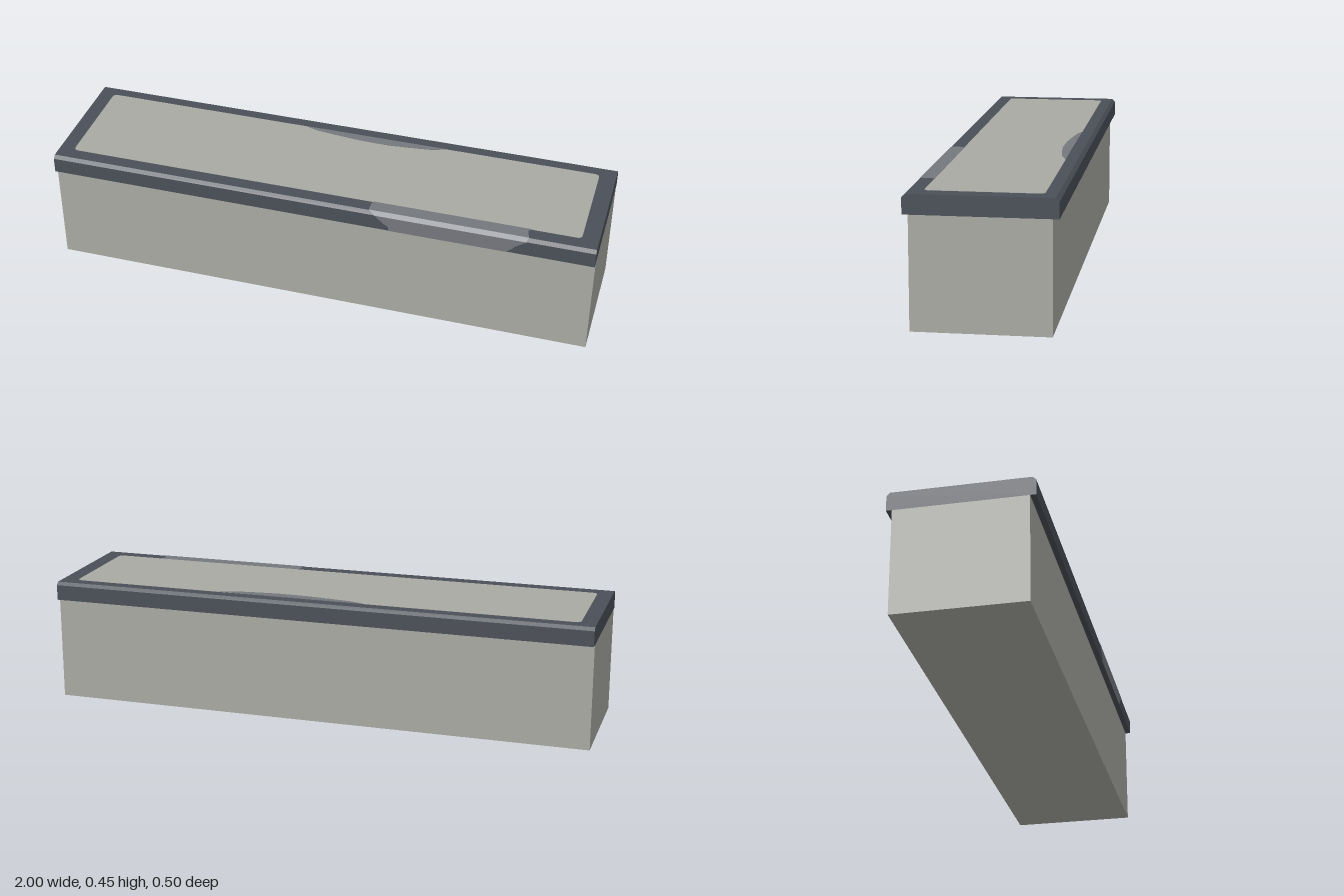
import * as THREE from 'three';

const stone = new THREE.MeshStandardMaterial({ color: 0xa9a9a3 });
stone.name = 'paleStone';
const slate = new THREE.MeshStandardMaterial({ color: 0x4a4f57 });
slate.name = 'darkSlate';
const worn = new THREE.MeshStandardMaterial({ color: 0x74777c });
worn.name = 'wornSlate';

const TOP = 0.449, UNDER = 0.382, LIFT = 0.0015;

function add(group, name, geometry, material) {
  const mesh = new THREE.Mesh(geometry, material);
  mesh.name = name;
  group.add(mesh);
  return mesh;
}

// Thin plate lying on the cap; the shape is drawn in x and -z
function plate(shape, thickness) {
  const g = new THREE.ExtrudeGeometry(shape, { depth: thickness, bevelEnabled: false, curveSegments: 5 });
  return g.rotateX(-Math.PI / 2).translate(0, TOP, 0);
}

// Rows of [y, z, left x, right x] joined into one flat-faced strip
function strip(rows) {
  const p = [];
  for (let i = 0; i < rows.length - 1; i++) {
    const [y0, z0, l0, r0] = rows[i], [y1, z1, l1, r1] = rows[i + 1];
    p.push(l0, y0, z0, l1, y1, z1, r1, y1, z1, l0, y0, z0, r1, y1, z1, r0, y0, z0);
  }
  const g = new THREE.BufferGeometry();
  g.setAttribute('position', new THREE.Float32BufferAttribute(p, 3));
  g.computeVertexNormals();
  return g;
}

export function createModel() {
  const group = new THREE.Group();
  group.name = 'cappedWall';

  // Wall body
  add(group, 'wallBody', new THREE.BoxGeometry(2, UNDER, 0.46), stone).position.y = UNDER / 2;

  // Overhanging cap with chamfered long edges, extruded along x
  const profile = new THREE.Shape([
    [-0.25, UNDER], [0.25, UNDER], [0.25, 0.438], [0.238, TOP], [-0.238, TOP], [-0.25, 0.438],
  ].map(([z, y]) => new THREE.Vector2(z, y)));
  const cap = new THREE.ExtrudeGeometry(profile, { depth: 2, bevelEnabled: false });
  cap.translate(0, 0, -1).rotateY(Math.PI / 2);
  add(group, 'cap', cap, slate);

  // Pale inset panel with rounded corners
  const x0 = -0.945, x1 = 0.94, y0 = -0.19, y1 = 0.197, r = 0.018;
  const panel = new THREE.Shape();
  panel.moveTo(x0 + r, y0);
  panel.lineTo(x1 - r, y0).quadraticCurveTo(x1, y0, x1, y0 + r);
  panel.lineTo(x1, y1 - r).quadraticCurveTo(x1, y1, x1 - r, y1);
  panel.lineTo(x0 + r, y1).quadraticCurveTo(x0, y1, x0, y1 - r);
  panel.lineTo(x0, y0 + r).quadraticCurveTo(x0, y0, x0 + r, y0);
  add(group, 'topPanel', plate(panel, 0.001), stone);

  // Worn patch spreading from the back rim on to the panel
  const smear = new THREE.Shape([
    [-0.17, 0.197], [-0.12, 0.182], [-0.04, 0.172], [0.05, 0.163], [0.16, 0.161],
    [0.24, 0.168], [0.32, 0.178], [0.35, 0.188], [0.38, 0.197],
  ].map(([x, y]) => new THREE.Vector2(x, y)));
  add(group, 'backWornPatch', plate(smear, 0.002), worn);

  // Worn patch wrapping over the front edge of the cap
  add(group, 'frontWornPatch', strip([
    [TOP + LIFT, 0.188, 0.2, 0.77],
    [TOP + LIFT, 0.2, 0.195, 0.755],
    [TOP + LIFT, 0.238, 0.195, 0.765],
    [0.438, 0.25 + LIFT, 0.22, 0.76],
    [0.41, 0.25 + LIFT, 0.25, 0.72],
    [0.398, 0.25 + LIFT, 0.27, 0.71],
    [UNDER, 0.25 + LIFT, 0.27, 0.69],
  ]), worn);

  return group;
}
